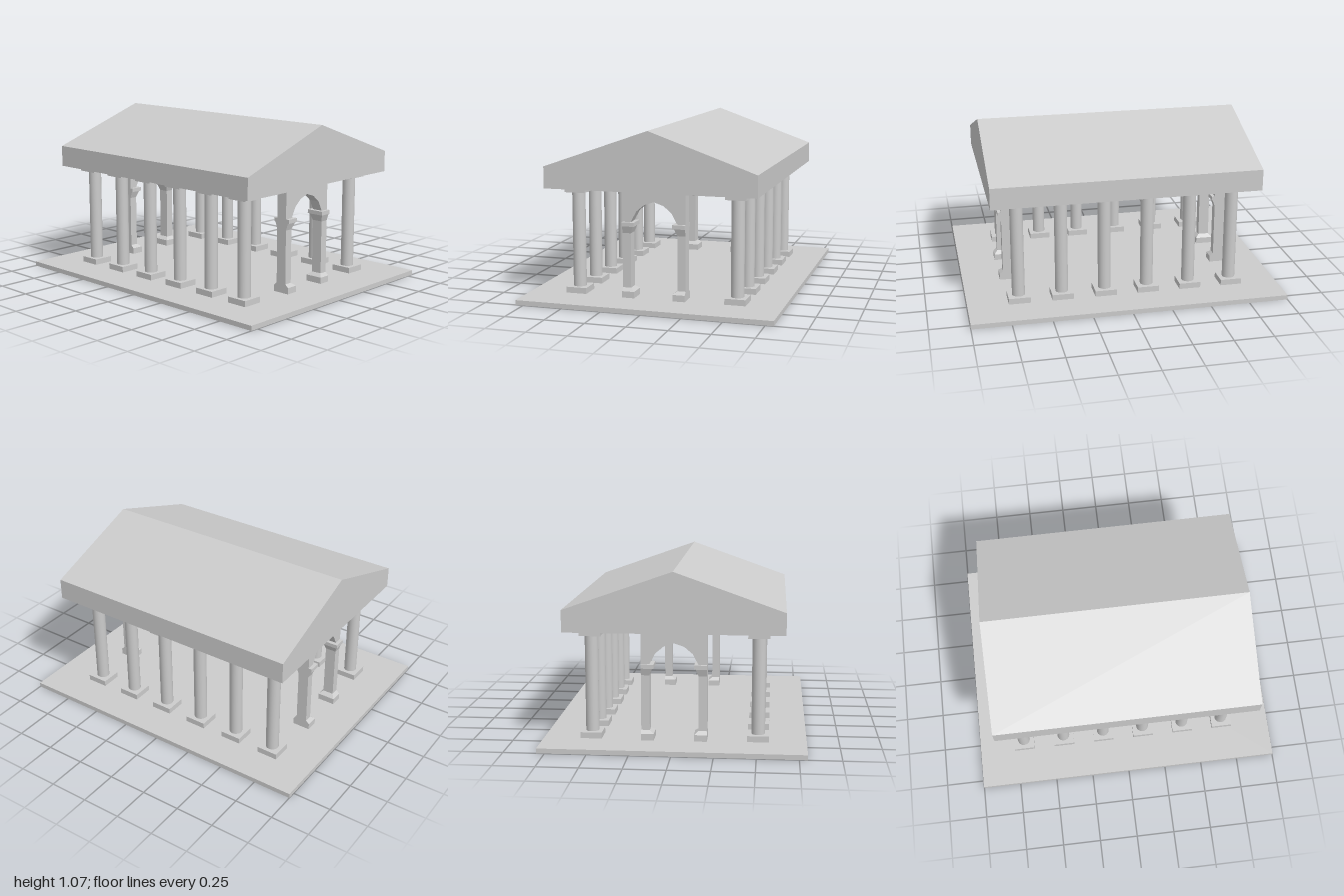
import * as THREE from 'three';

const material = new THREE.MeshStandardMaterial({ color: 0xcccccc });

function addMesh(parent, name, geometry, x = 0, y = 0, z = 0) {
  const mesh = new THREE.Mesh(geometry, material);
  mesh.name = name;
  mesh.position.set(x, y, z);
  parent.add(mesh);
  return mesh;
}

function addBox(parent, name, w, y0, y1, d) {
  return addMesh(parent, name, new THREE.BoxGeometry(w, y1 - y0, d), 0, (y0 + y1) / 2, 0);
}

// Extrude a front outline, centred on z = 0
function slab(points, depth) {
  const shape = new THREE.Shape(points.map(([x, y]) => new THREE.Vector2(x, y)));
  return new THREE.ExtrudeGeometry(shape, { depth, bevelEnabled: false }).translate(0, 0, -depth / 2);
}

// Pier block: flush on the outside, tapering on the inside and on both faces
const OUTER = 0.2;
function pierBlock(side, y0, y1, inner0, inner1, depth0, depth1) {
  const geometry = new THREE.BoxGeometry(1, 1, 1);
  const p = geometry.attributes.position;
  for (let i = 0; i < p.count; i++) {
    const top = p.getY(i) > 0;
    const outside = p.getX(i) * side > 0;
    p.setXYZ(i,
      side * (outside ? OUTER : top ? inner1 : inner0),
      top ? y1 : y0,
      p.getZ(i) * (top ? depth1 : depth0));
  }
  geometry.computeVertexNormals();
  return geometry;
}

function createColumn() {
  const column = new THREE.Group();
  column.name = 'column';
  addBox(column, 'columnPlinth', 0.131, 0.03, 0.067, 0.137);
  addMesh(column, 'columnShaft', new THREE.CylinderGeometry(0.041, 0.041, 0.6, 20), 0, 0.366, 0);
  addBox(column, 'columnCapital', 0.131, 0.665, 0.7, 0.137);
  return column;
}

function createArch() {
  const arch = new THREE.Group();
  arch.name = 'archway';
  const thick = 0.07, wide = 0.114;

  // Wall above the piers with the faceted arch cut from below
  const half = [[0.147, 0.5], [0.113, 0.565], [0.062, 0.608]];
  addMesh(arch, 'archWall', slab([
    [-OUTER, 0.5],
    ...half.map(([x, y]) => [-x, y]),
    [0, 0.629],
    ...half.slice().reverse(),
    [OUTER, 0.5], [OUTER, 0.7], [-OUTER, 0.7],
  ], thick));

  for (const side of [-1, 1]) {
    // [name, bottom, top, inner x bottom/top, depth bottom/top]
    const blocks = [
      ['pierBase', 0.03, 0.07, 0.122, 0.122, wide, wide],
      ['pierBaseTaper', 0.07, 0.09, 0.122, 0.148, wide, thick],
      ['pierShaft', 0.09, 0.43, 0.148, 0.148, thick, thick],
      ['impostTaper', 0.43, 0.475, 0.148, 0.131, thick, 0.1],
      ['impost', 0.475, 0.5, 0.122, 0.122, wide, wide],
    ];
    for (const [name, ...sizes] of blocks) addMesh(arch, name, pierBlock(side, ...sizes));
  }
  return arch;
}

export function createModel() {
  const model = new THREE.Group();
  model.name = 'temple';

  addBox(model, 'floorSlab', 1.6, 0, 0.03, 2);

  // Gabled roof block
  addMesh(model, 'roof', slab([
    [-0.665, 0.7], [0.665, 0.7], [0.665, 0.835], [0, 1.07], [-0.665, 0.835],
  ], 1.69));

  // Six columns along each long side
  for (const side of [-1, 1]) {
    for (let i = 0; i < 6; i++) {
      const column = createColumn();
      column.position.set(side * 0.508 + 0.002, 0, 0.675 - i * 0.2744);
      model.add(column);
    }
  }

  // One archway at each end
  for (const z of [0.702, -0.724]) {
    const arch = createArch();
    arch.position.set(0.002, 0, z);
    model.add(arch);
  }
  return model;
}
